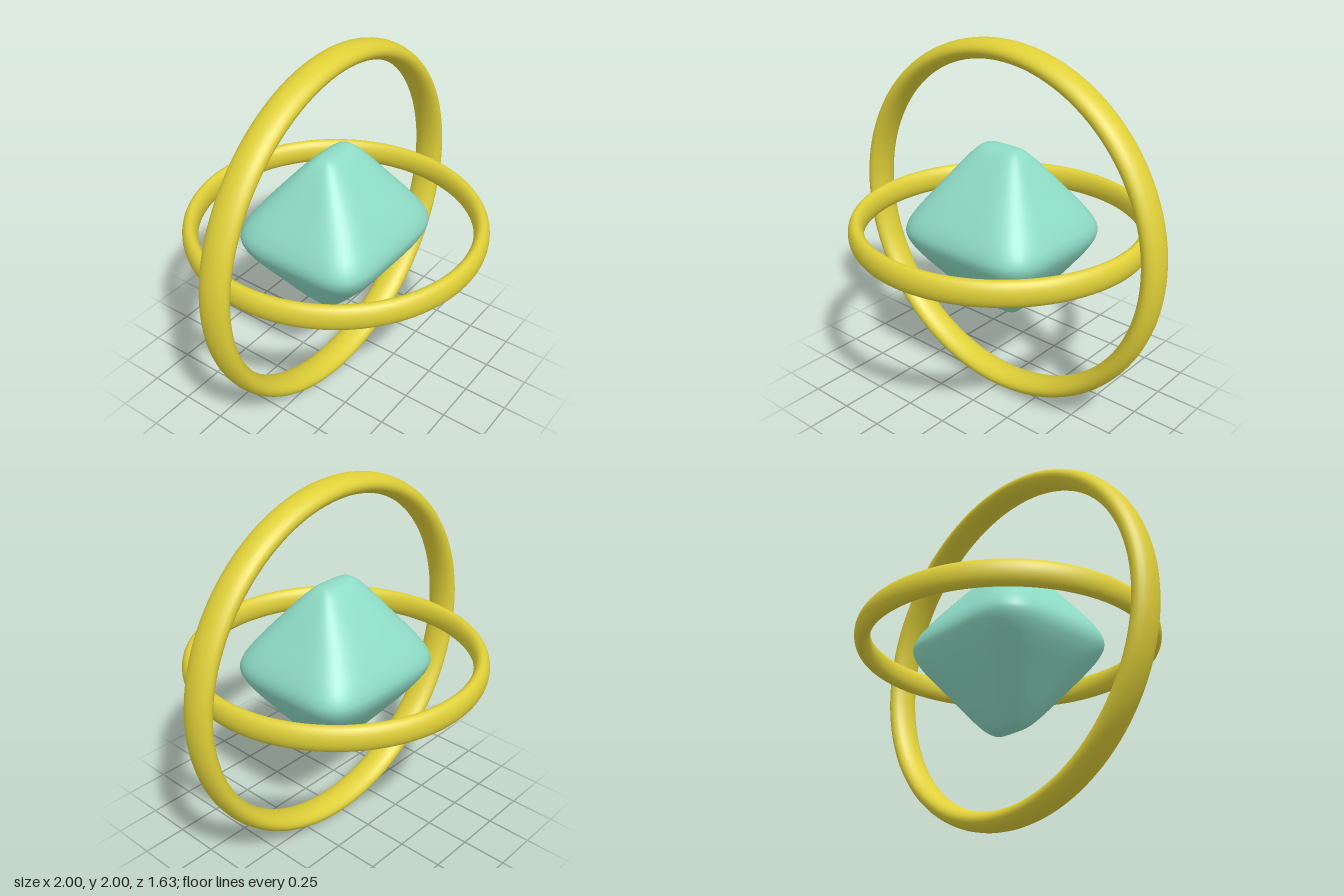
import * as THREE from 'three';

const gold = new THREE.MeshStandardMaterial({ color: 0xdfd038 });
const teal = new THREE.MeshStandardMaterial({ color: 0x8edcc6 });

// Ring with an oval section, wider along its axis than across the band
function ring(name, outer, inner, halfDepth) {
  const tube = (outer - inner) / 2;
  const geo = new THREE.TorusGeometry((outer + inner) / 2, tube, 24, 128);
  geo.scale(1, 1, halfDepth / tube);
  const mesh = new THREE.Mesh(geo, gold);
  mesh.name = name;
  return mesh;
}

// Soft double pyramid: rounded-square loops swept down a profile of
// (half width, height, half depth), ending in a short ridge along x
function crystalGeometry() {
  const upper = [
    [0.085, 0.4725, 0.012], [0.115, 0.464, 0.05], [0.165, 0.418, 0.105],
    [0.312, 0.222, 0.272], [0.372, 0.14, 0.334], [0.41, 0.08, 0.374], [0.43, 0.035, 0.394],
  ];
  const lower = upper.map(([a, y, b]) => [a, -y, b]).reverse();
  const profile = new THREE.CatmullRomCurve3(
    [...upper, [0.435, 0, 0.4], ...lower].map((p) => new THREE.Vector3(...p)));
  const rows = 64, cols = 96, pos = [], index = [];
  for (let i = 0; i <= rows; i++) {
    const { x: a, y, z: b } = profile.getPoint(i / rows);
    const n = 5 - 1.5 * Math.abs(y) / 0.4725;
    for (let j = 0; j < cols; j++) {
      const t = (j / cols) * Math.PI * 2, c = Math.cos(t), s = Math.sin(t);
      const r = (Math.abs(c) ** n + Math.abs(s) ** n) ** (-1 / n);
      pos.push(a * r * c, y, b * r * s);
      if (i === rows) continue;
      const p = i * cols + j, q = i * cols + ((j + 1) % cols);
      index.push(p, q, p + cols, q, q + cols, p + cols);
    }
  }
  // Close the two ridges
  const top = pos.length / 3, last = rows * cols;
  pos.push(0, 0.4725, 0, 0, -0.4725, 0);
  for (let j = 0; j < cols; j++) {
    const k = (j + 1) % cols;
    index.push(top, k, j, top + 1, last + j, last + k);
  }
  const geo = new THREE.BufferGeometry();
  geo.setAttribute('position', new THREE.Float32BufferAttribute(pos, 3));
  geo.setIndex(index);
  geo.computeVertexNormals();
  return geo;
}

export function createModel() {
  const model = new THREE.Group();
  model.name = 'ringedCrystal';

  const outerRing = ring('outerRing', 1, 0.895, 0.085);
  outerRing.position.y = 1;

  const innerRing = ring('innerRing', 0.817, 0.733, 0.07);
  innerRing.rotation.x = Math.PI / 2;
  innerRing.position.y = 1.005;

  const crystal = new THREE.Mesh(crystalGeometry(), teal);
  crystal.name = 'crystal';
  crystal.position.y = 0.978;

  model.add(outerRing, innerRing, crystal);
  return model;
}
